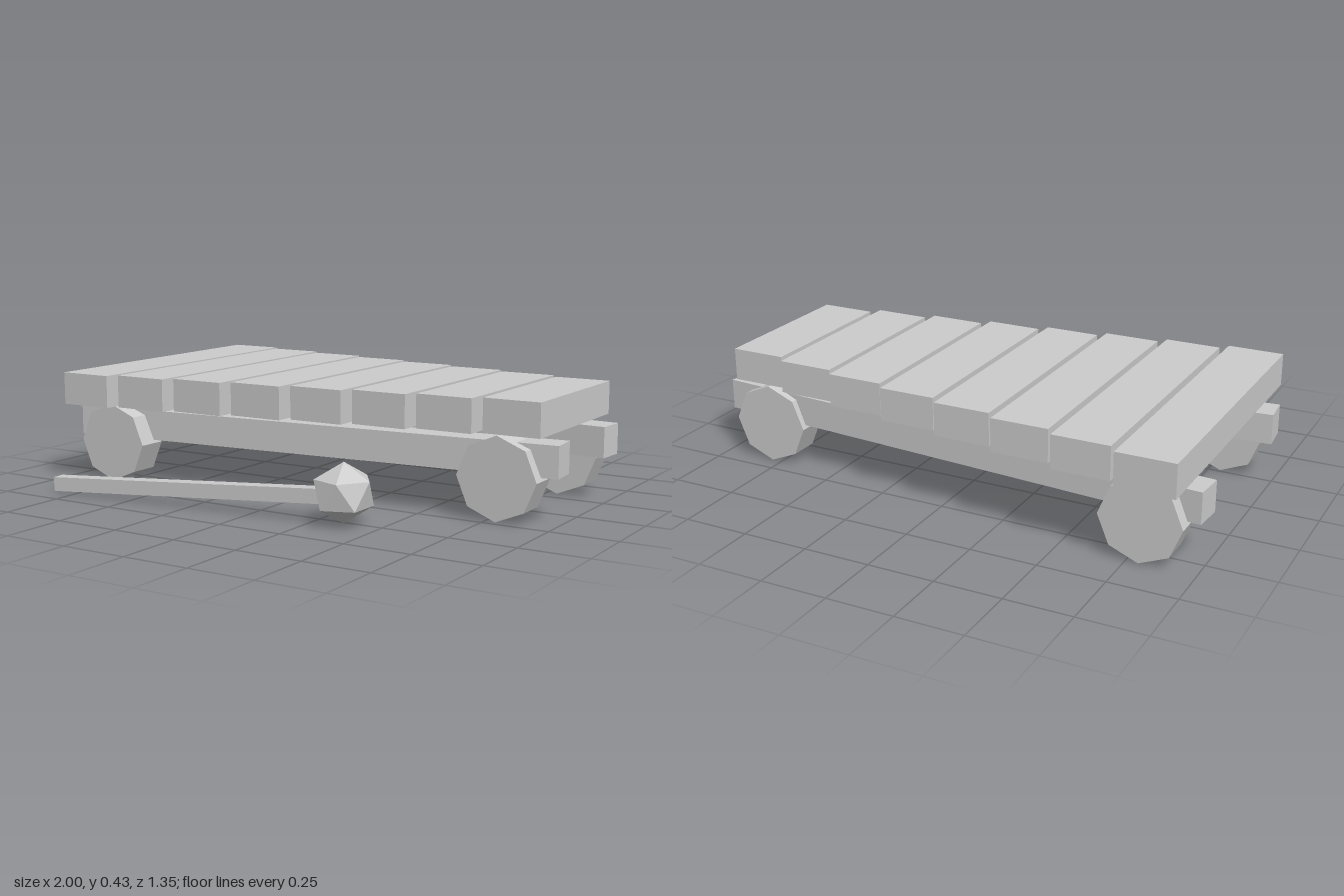
import * as THREE from 'three';
import { ConvexGeometry } from 'three/addons/geometries/ConvexGeometry.js';

export function createModel() {
  const model = new THREE.Group();
  model.name = 'xylophone';
  const grey = new THREE.MeshStandardMaterial({ color: 0xcccccc, flatShading: true });
  grey.name = 'light grey';

  const add = (name, geometry, x, y, z) => {
    const mesh = new THREE.Mesh(geometry, grey);
    mesh.name = name;
    mesh.position.set(x, y, z);
    model.add(mesh);
    return mesh;
  };

  // Eight sounding bars, shortening towards +x
  for (let i = 0; i < 8; i++) {
    const t = i / 7;
    const length = THREE.MathUtils.lerp(1.15, 0.632, t);
    add(`bar${i + 1}`, new THREE.BoxGeometry(0.215, 0.124, length),
      -0.842 + 1.68 * t, 0.367, -0.104);
  }

  // Two converging rails, with a wheel outside each end
  const middle = -0.104;
  for (const side of [1, -1]) {
    const label = side > 0 ? 'front' : 'back';
    const rail = add(`${label}Rail`, new THREE.BoxGeometry(1.994, 0.116, 0.115),
      0, 0.222, middle + side * 0.298);
    rail.rotation.y = side * 0.078;

    for (const [end, x, offset] of [['Right', -0.795, 0.423], ['Left', 0.79, 0.27]]) {
      const wheel = new THREE.CylinderGeometry(0.152, 0.152, 0.117, 8);
      wheel.rotateX(Math.PI / 2);
      add(`${label}${end}Wheel`, wheel, x, 0.152, middle + side * offset);
    }
  }

  // Mallet handle, from its resting tip into the head
  const tip = new THREE.Vector3(-0.835, 0.033, 0.645);
  const neck = new THREE.Vector3(0.365, 0.1, 0.527);
  const along = neck.clone().sub(tip);
  const centre = tip.clone().add(neck).multiplyScalar(0.5);
  const handle = add('malletHandle', new THREE.BoxGeometry(along.length(), 0.053, 0.053),
    centre.x, centre.y, centre.z);
  handle.quaternion.setFromUnitVectors(new THREE.Vector3(1, 0, 0), along.normalize());

  // Faceted twenty-sided mallet head: two poles and two staggered rings of five
  const points = [new THREE.Vector3(0, 0.1075, 0), new THREE.Vector3(0, -0.1075, 0)];
  for (let i = 0; i < 10; i++) {
    const a = (i * Math.PI) / 5;
    points.push(new THREE.Vector3(
      0.102 * Math.cos(a), i % 2 ? -0.048 : 0.048, 0.108 * Math.sin(a)));
  }
  add('malletHead', new ConvexGeometry(points), 0.364, 0.112, 0.526);

  return model;
}
